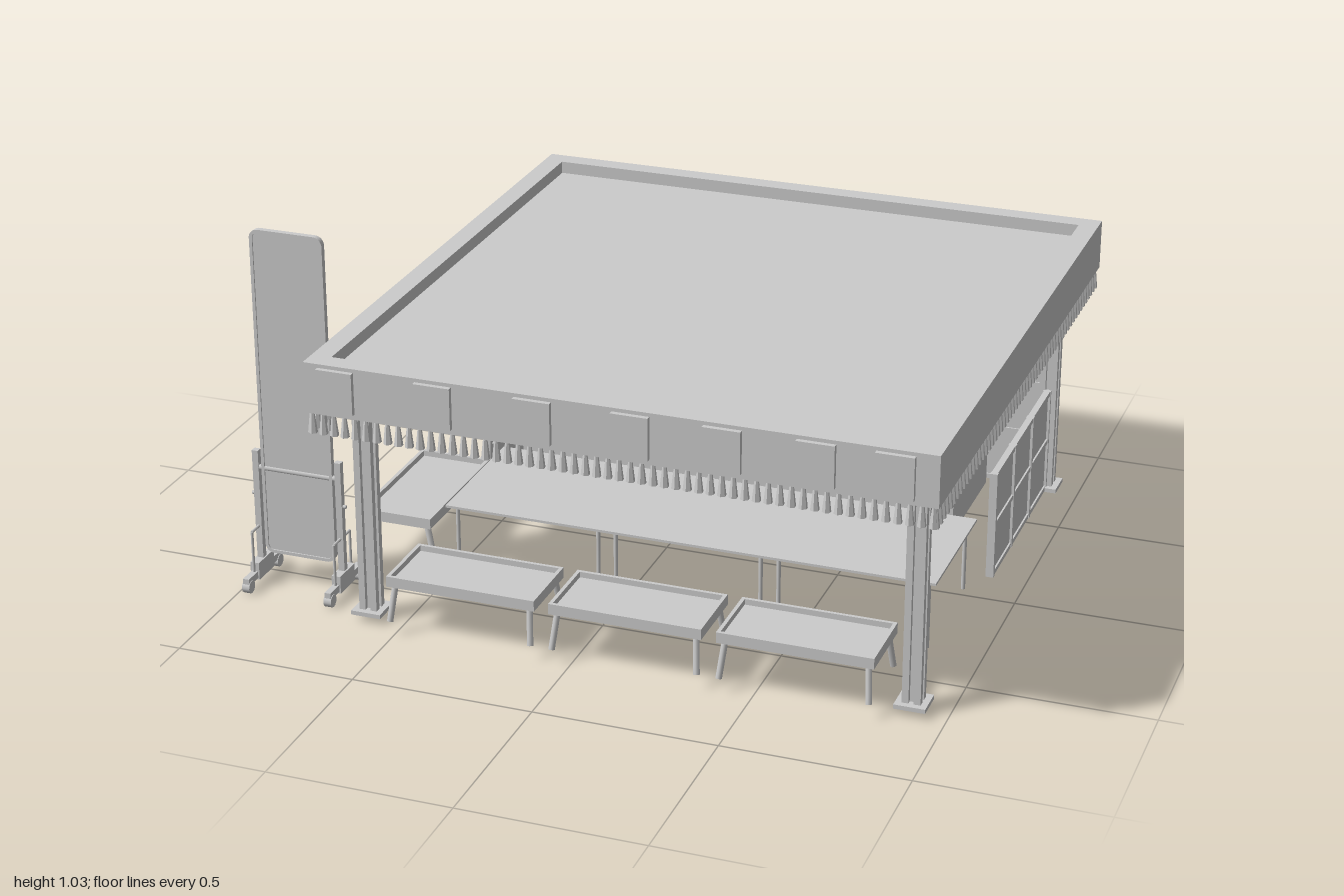
import * as THREE from 'three';

const mat = new THREE.MeshStandardMaterial({ color: 0xcccccc, side: THREE.DoubleSide });
const flat = new THREE.MeshStandardMaterial({ color: 0xcccccc, side: THREE.DoubleSide, flatShading: true });

function add(parent, name, geo, x = 0, y = 0, z = 0, m = mat) {
  const mesh = new THREE.Mesh(geo, m);
  mesh.name = name;
  mesh.position.set(x, y, z);
  parent.add(mesh);
  return mesh;
}

// Box given by its lower and upper limits on each axis
function box(parent, name, x0, x1, y0, y1, z0, z1) {
  return add(parent, name, new THREE.BoxGeometry(x1 - x0, y1 - y0, z1 - z0),
    (x0 + x1) / 2, (y0 + y1) / 2, (z0 + z1) / 2);
}

function group(parent, name, x = 0, y = 0, z = 0) {
  const g = new THREE.Group();
  g.name = name;
  g.position.set(x, y, z);
  parent.add(g);
  return g;
}

// Straight round bar between two points
function bar(parent, name, a, b, r, sides = 8) {
  const A = new THREE.Vector3(...a), B = new THREE.Vector3(...b);
  const d = B.clone().sub(A);
  const mesh = add(parent, name, new THREE.CylinderGeometry(r, r, d.length(), sides));
  mesh.position.copy(A).add(B).multiplyScalar(0.5);
  mesh.quaternion.setFromUnitVectors(new THREE.Vector3(0, 1, 0), d.normalize());
  return mesh;
}

function roundedRect(w, h, r) {
  const s = new THREE.Shape(), x = w / 2, y = h / 2;
  s.moveTo(-x + r, -y);
  s.lineTo(x - r, -y).absarc(x - r, -y + r, r, -Math.PI / 2, 0);
  s.lineTo(x, y - r).absarc(x - r, y - r, r, 0, Math.PI / 2);
  s.lineTo(-x + r, y).absarc(-x + r, y - r, r, Math.PI / 2, Math.PI);
  s.lineTo(-x, -y + r).absarc(-x + r, -y + r, r, Math.PI, Math.PI * 1.5);
  return s;
}

// Panelled wall along local x, starting at the origin
function panelWall(parent, name, length, height, cols, rows) {
  const g = group(parent, name);
  box(g, 'wallSheet', 0, length, 0, height, -0.004, 0.004);
  for (let i = 0; i <= cols; i++) {
    const x = 0.007 + (length - 0.014) * i / cols;
    box(g, 'wallStile', x - 0.007, x + 0.007, 0, height, -0.011, 0.011);
  }
  for (let j = 0; j <= rows; j++) {
    const y = 0.007 + (height - 0.014) * j / rows;
    box(g, 'wallRail', 0, length, y - 0.007, y + 0.007, -0.009, 0.009);
  }
  return g;
}

function makeRoof(root) {
  const roof = group(root, 'roof');
  const [x0, x1, z0, z1, t] = [-0.68, 1.0, -0.86, 0.84, 0.055];
  box(roof, 'frontFascia', x0, x1, 0.66, 0.8, z1 - t, z1);
  box(roof, 'backFascia', x0, x1, 0.66, 0.8, z0, z0 + t);
  box(roof, 'rightFascia', x0, x0 + t, 0.66, 0.8, z0 + t, z1 - t);
  box(roof, 'leftFascia', x1 - t, x1, 0.66, 0.8, z0 + t, z1 - t);
  box(roof, 'roofPanel', x0 + t, x1 - t, 0.735, 0.765, z0 + t, z1 - t);

  // Fringe of flared tassels below all four edges
  const n = 56, i0 = 0.012;
  const tassel = new THREE.CylinderGeometry(0.005, 0.012, 0.06, 6);
  const spots = [];
  for (let i = 0; i < n; i++) {
    const u = (i + 0.5) / n;
    const x = x0 + (x1 - x0) * u, z = z0 + (z1 - z0) * u;
    spots.push([x, z0 + i0], [x, z1 - i0], [x0 + i0, z], [x1 - i0, z]);
  }
  const fringe = group(roof, 'fringe');
  for (const [x, z] of spots) add(fringe, 'tassel', tassel, x, 0.632, z, flat);

  // Square hangings on the front fascia
  for (const x of [-0.59, -0.32, -0.05, 0.21, 0.45, 0.69, 0.89])
    box(roof, 'frontHanging', x - 0.05, x + 0.05, 0.675, 0.79, z1, z1 + 0.013);
}

function makePost(root, x, z) {
  const g = group(root, 'post', x, 0, z);
  box(g, 'postFoot', -0.042, 0.042, 0.018, 0.03, -0.042, 0.042);
  box(g, 'postCore', -0.012, 0.012, 0.03, 0.74, -0.012, 0.012);
  for (const sx of [-1, 1]) for (const sz of [-1, 1])
    box(g, 'postStrut', sx * 0.016 - 0.009, sx * 0.016 + 0.009, 0.03, 0.74, sz * 0.016 - 0.009, sz * 0.016 + 0.009);
}

// Counter unit hollow from below
function makeCounter(root, x0, x1, top) {
  const g = group(root, 'counter'), z0 = -0.68, z1 = -0.31, t = 0.008;
  box(g, 'counterTop', x0, x1, top - t, top, z0, z1);
  box(g, 'counterFront', x0, x1, 0.02, top - t, z1 - t, z1);
  box(g, 'counterBack', x0, x1, 0.02, top - t, z0, z0 + t);
  box(g, 'counterEnd', x0, x0 + t, 0.02, top - t, z0 + t, z1 - t);
  box(g, 'counterEnd', x1 - t, x1, 0.02, top - t, z0 + t, z1 - t);
}

function makeTable(root, x) {
  const g = group(root, 'table', x, 0, 0.18);
  box(g, 'tableTop', -0.23, 0.23, 0.215, 0.222, -0.205, 0.205);
  for (const sx of [-1, 1]) for (const sz of [-1, 1])
    bar(g, 'tableLeg', [sx * 0.205, 0.02, sz * 0.18], [sx * 0.205, 0.216, sz * 0.18], 0.006);
}

// Low bench with a rim and splayed legs, long side on local x
function makeBench(root, x, z, turn = 0) {
  const g = group(root, 'bench', x, 0, z);
  g.rotation.y = turn;
  const w = 0.21, d = 0.105;
  box(g, 'seat', -w, w, 0.142, 0.152, -d, d);
  for (const s of [-1, 1]) {
    box(g, 'longRim', -w, w, 0.138, 0.168, s * (d - 0.005) - 0.005, s * (d - 0.005) + 0.005);
    box(g, 'shortRim', s * (w - 0.005) - 0.005, s * (w - 0.005) + 0.005, 0.138, 0.168, -d, d);
    for (const t of [-1, 1])
      bar(g, 'benchLeg', [s * 0.2, 0.04, t * 0.11], [s * 0.19, 0.15, t * 0.085], 0.009);
  }
}

function makeSign(root) {
  const g = group(root, 'signStand', -0.853, 0, 0.56);
  const extrude = (s, depth) => new THREE.ExtrudeGeometry(s, { depth, bevelEnabled: false, curveSegments: 6 });
  add(g, 'signBoard', extrude(roundedRect(0.2, 0.93, 0.02), 0.008), 0, 0.56, -0.004);
  const frame = roundedRect(0.21, 0.94, 0.025);
  frame.holes.push(roundedRect(0.192, 0.922, 0.016));
  add(g, 'signFrame', extrude(frame, 0.016), 0, 0.56, -0.008);
  bar(g, 'crossBar', [-0.122, 0.34, 0], [0.122, 0.34, 0], 0.008);
  for (const s of [-1, 1]) {
    const x = s * 0.122;
    box(g, 'upright', x - 0.009, x + 0.009, 0.03, 0.39, -0.009, 0.009);
    bar(g, 'clampKnob', [x, 0.26, 0], [x + s * 0.018, 0.26, 0], 0.005);
    box(g, 'footBar', x - 0.009, x + 0.009, 0.025, 0.045, -0.1, 0.1);
    box(g, 'footBlock', x - 0.013, x + 0.013, 0.02, 0.07, -0.045, 0.045);
    // Bent stay from the foot to the upright
    for (const t of [-1, 1]) {
      bar(g, 'stay', [x, 0.04, t * 0.05], [x, 0.165, t * 0.05], 0.004);
      bar(g, 'stay', [x, 0.165, t * 0.05], [x, 0.165, 0], 0.004);
      const wheel = add(g, 'caster', new THREE.CylinderGeometry(0.018, 0.018, 0.022, 12), x, 0.018, t * 0.087);
      wheel.rotation.z = Math.PI / 2;
    }
  }
}

export function createModel() {
  const root = new THREE.Group();
  root.name = 'marketStall';

  makeRoof(root);
  for (const x of [-0.6, 0.905]) for (const z of [-0.72, 0.66]) makePost(root, x, z);

  // Back wall and the two low side walls
  panelWall(root, 'backWall', 1.48, 0.63, 7, 4).position.set(-0.588, 0.02, -0.72);
  for (const x of [-0.58, 0.905]) {
    const side = panelWall(root, 'sideWall', 0.61, 0.31, 3, 2);
    side.rotation.y = -Math.PI / 2;
    side.position.set(x, 0.02, -0.7);
  }

  // Counters, the tall cabinet and small things on the counter
  makeCounter(root, -0.56, -0.06, 0.25);
  makeCounter(root, -0.06, 0.53, 0.25);
  makeCounter(root, 0.53, 0.74, 0.235);
  box(root, 'cabinet', -0.56, -0.06, 0.25, 0.51, -0.67, -0.5);
  box(root, 'tray', 0.56, 0.63, 0.235, 0.243, -0.5, -0.42);
  box(root, 'tray', 0.65, 0.71, 0.235, 0.243, -0.6, -0.52);

  for (const x of [-0.27, 0.19, 0.65]) makeTable(root, x);
  for (const x of [-0.31, 0.15, 0.61]) makeBench(root, x, 0.63);
  makeBench(root, -0.655, 0.17, Math.PI / 2);

  makeSign(root);
  return root;
}
